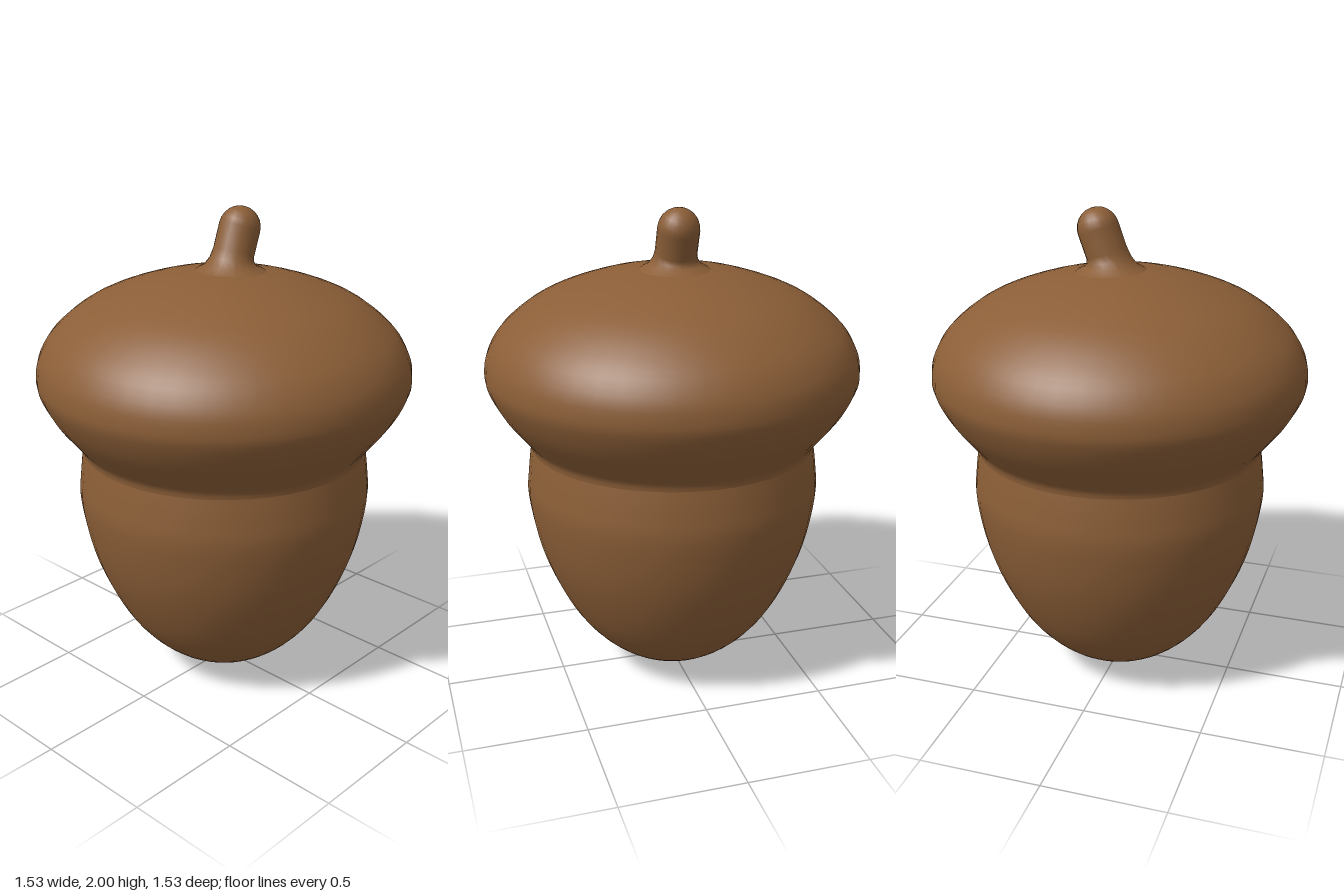
import * as THREE from 'three';
import { mergeVertices } from 'three/addons/utils/BufferGeometryUtils.js';

const brown = new THREE.MeshStandardMaterial({ color: 0x8b5e37 });
brown.name = 'acorn brown';

// Smooth curve through [radius, height] pairs, listed from bottom to top
function profile(pairs, divisions) {
  const curve = new THREE.SplineCurve(pairs.map(([r, y]) => new THREE.Vector2(r, y)));
  return curve.getPoints(divisions).map((p) => new THREE.Vector2(Math.max(p.x, 0), p.y));
}

function turned(name, points, segments) {
  const mesh = new THREE.Mesh(new THREE.LatheGeometry(points, segments), brown);
  mesh.name = name;
  return mesh;
}

// Leaning stem: each turned ring tilts and slides along a slanted axis
function makeStem() {
  const lean = 0.35, radius = 0.084, tipStart = 0.176;
  const points = [[0.2, -0.03], [0.145, 0], [0.108, 0.02], [0.09, 0.045], [radius, 0.075], [radius, tipStart]]
    .map(([r, h]) => new THREE.Vector2(r, h));
  for (let i = 1; i <= 6; i++) {
    const a = (i / 6) * Math.PI / 2;
    points.push(new THREE.Vector2(i === 6 ? 0 : radius * Math.cos(a), tipStart + radius * Math.sin(a)));
  }
  let geometry = new THREE.LatheGeometry(points, 20);
  const pos = geometry.attributes.position;
  for (let i = 0; i < pos.count; i++) {
    const x = pos.getX(i), h = pos.getY(i);
    const tilt = lean * THREE.MathUtils.smoothstep(h, 0, 0.09);
    pos.setX(i, 0.03 + h * Math.sin(lean) + x * Math.cos(tilt));
    pos.setY(i, 1.75 + h * Math.cos(lean) - x * Math.sin(tilt));
  }
  geometry.deleteAttribute('uv');
  geometry.deleteAttribute('normal');
  geometry = mergeVertices(geometry, 1e-5);
  geometry.computeVertexNormals();
  const mesh = new THREE.Mesh(geometry, brown);
  mesh.name = 'stem';
  return mesh;
}

export function createModel() {
  const group = new THREE.Group();
  group.name = 'acorn';

  // Nut, tapering to a blunt point
  group.add(turned('nut', profile([
    [0, 0], [0.115, 0.02], [0.275, 0.11], [0.4, 0.235], [0.495, 0.395],
    [0.57, 0.59], [0.61, 0.8], [0.605, 0.92], [0.592, 1.02],
  ], 32), 48));

  // Cap, flaring out from the neck and closing over the top
  group.add(turned('cap', profile([
    [0.592, 1.02], [0.6, 1.05], [0.635, 1.095], [0.705, 1.185], [0.755, 1.28],
    [0.766, 1.345], [0.748, 1.43], [0.68, 1.53], [0.53, 1.64], [0.31, 1.72],
    [0.11, 1.755], [0, 1.76],
  ], 40), 48));

  group.add(makeStem());
  return group;
}
